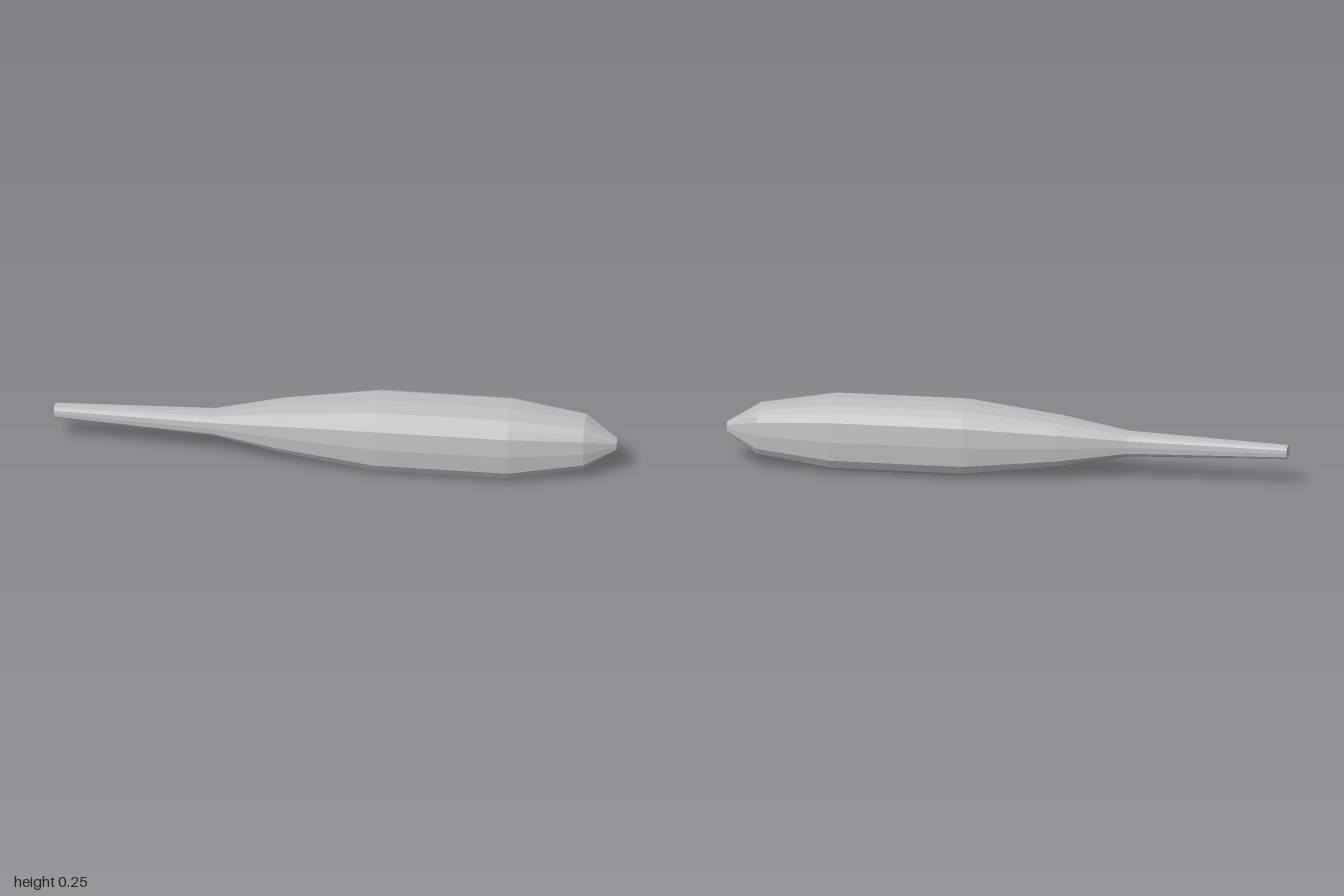
import * as THREE from 'three';

// Cross-sections along x: [x, z centre, half height, half depth]
const SECTIONS = [
  [-1.0, 0.053, 0.022, 0.026],
  [-0.43, 0.043, 0.041, 0.048],
  [-0.19, 0.026, 0.084, 0.091],
  [0.15, 0.009, 0.125, 0.131],
  [0.62, -0.01, 0.125, 0.13],
  [0.885, -0.03, 0.0865, 0.0875],
  [1.0, -0.028, 0.019, 0.019],
];
const SIDES = 16;
const CENTRE_Y = 0.125;
const ROUNDNESS = 0.6; // superellipse exponent: rounded square
const TILT = 0.06; // sections stand square to the slanting axis

const soften = (v) => Math.sign(v) * Math.pow(Math.abs(v), ROUNDNESS);

function sectionPoint([x, zc, halfY, halfZ], i) {
  const a = ((i % SIDES) / SIDES) * Math.PI * 2;
  const dz = soften(Math.cos(a)) * halfZ;
  const tilt = Math.abs(x) === 1 ? 0 : TILT;
  return [x + dz * tilt, CENTRE_Y + soften(Math.sin(a)) * halfY, zc + dz];
}

function meshFromTriangles(name, positions, material) {
  const geometry = new THREE.BufferGeometry();
  geometry.setAttribute('position', new THREE.Float32BufferAttribute(positions, 3));
  geometry.computeVertexNormals(); // unshared corners give flat facets
  const mesh = new THREE.Mesh(geometry, material);
  mesh.name = name;
  return mesh;
}

// Faceted skin between sections first..last
function loft(name, first, last, material) {
  const pos = [];
  for (let s = first; s < last; s++) {
    for (let i = 0; i < SIDES; i++) {
      const a = sectionPoint(SECTIONS[s], i);
      const b = sectionPoint(SECTIONS[s + 1], i);
      const c = sectionPoint(SECTIONS[s + 1], i + 1);
      const d = sectionPoint(SECTIONS[s], i + 1);
      pos.push(...a, ...b, ...c, ...a, ...c, ...d);
    }
  }
  return meshFromTriangles(name, pos, material);
}

// Flat end closing a section, facing +x or -x
function cap(name, section, facing, material) {
  const pos = [];
  const centre = [section[0], CENTRE_Y, section[1]];
  for (let i = 0; i < SIDES; i++) {
    const a = sectionPoint(section, i);
    const b = sectionPoint(section, i + 1);
    pos.push(...centre, ...(facing > 0 ? [...b, ...a] : [...a, ...b]));
  }
  return meshFromTriangles(name, pos, material);
}

export function createModel() {
  const grey = new THREE.MeshStandardMaterial({ color: 0xc0c0c0 });
  grey.name = 'plain grey';

  const model = new THREE.Group();
  model.name = 'taperedBody';
  model.add(
    loft('tailBoom', 0, 1, grey),
    loft('hull', 1, 5, grey),
    loft('nose', 5, 6, grey),
    cap('tailCap', SECTIONS[0], -1, grey),
    cap('noseCap', SECTIONS[6], 1, grey),
  );
  return model;
}
